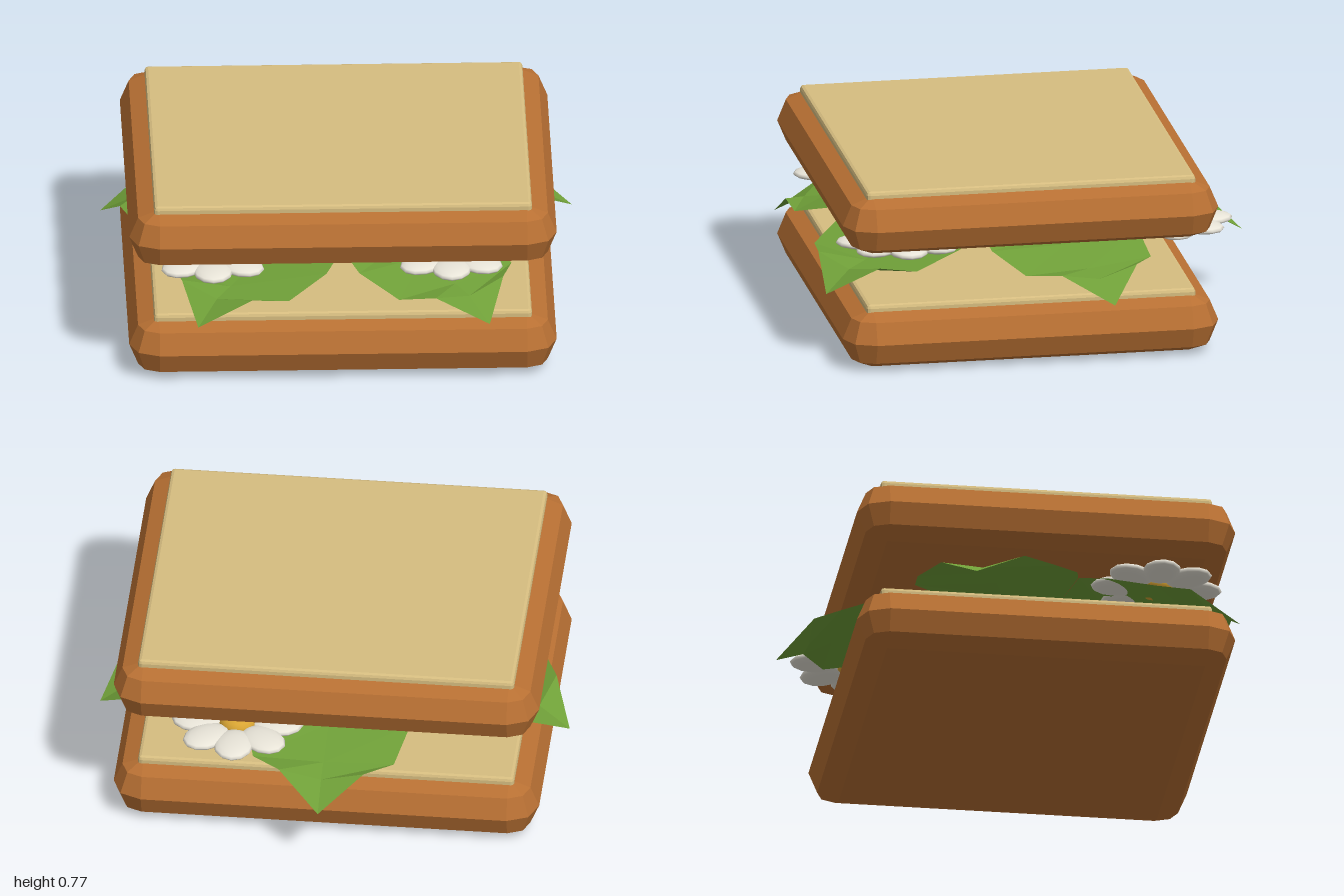
import * as THREE from 'three';
import { ConvexGeometry } from 'three/addons/geometries/ConvexGeometry.js';

const material = (color, flat, side = THREE.FrontSide) =>
  new THREE.MeshStandardMaterial({ color, flatShading: flat, side });

const CENTRE_Z = 0.1;

function add(parent, name, geometry, mat) {
  const mesh = new THREE.Mesh(geometry, mat);
  mesh.name = name;
  parent.add(mesh);
  return mesh;
}

// Box with faceted rounded edges: the hull of eight coarse sphere octants
function facetedSlab(w, h, d, r) {
  const points = [];
  for (const sx of [-1, 1]) for (const sy of [-1, 1]) for (const sz of [-1, 1]) {
    for (let lat = 0; lat <= 2; lat++) {
      for (let lon = 0; lon <= (lat === 2 ? 0 : 2); lon++) {
        const a = lat * Math.PI / 4, b = lon * Math.PI / 4;
        points.push(new THREE.Vector3(
          sx * (w / 2 - r + r * Math.cos(a) * Math.cos(b)),
          sy * (h / 2 - r + r * Math.sin(a)),
          sz * (d / 2 - r + r * Math.cos(a) * Math.sin(b))));
      }
    }
  }
  return new ConvexGeometry(points);
}

// Leaf along +z: stations of [distance, half width, midrib height, edge height]
function leafGeometry() {
  const stations = [
    [0, 0, 0.28, 0.28], [0.12, 0.087, 0.38, 0.4], [0.3, 0.218, 0.42, 0.46],
    [0.45, 0.325, 0.44, 0.495], [0.6, 0.35, 0.43, 0.45], [0.81, 0.3, 0.38, 0.39],
    [0.91, 0.18, 0.36, 0.4], [1.05, 0, 0.28, 0.28],
  ];
  const position = [], index = [];
  stations.forEach(([z, w, mid, edge], i) => {
    position.push(-w, edge, z, 0, mid, z, w, edge, z);
    if (i === 0) return;
    for (let k = 0; k < 2; k++) {
      const a = (i - 1) * 3 + k, b = a + 3;
      index.push(a, b, a + 1, a + 1, b, b + 1);
    }
  });
  const geometry = new THREE.BufferGeometry();
  geometry.setAttribute('position', new THREE.Float32BufferAttribute(position, 3));
  geometry.setIndex(index);
  geometry.computeVertexNormals();
  return geometry;
}

export function createModel() {
  const model = new THREE.Group();
  model.name = 'sandwich';
  const crust = material(0xb87033, true);
  const crumb = material(0xd6bd80, true);
  const green = material(0x6f9f38, true, THREE.DoubleSide);
  const white = material(0xe8e4d8, false);
  const gold = material(0xd9a533, false);

  // Two slices of bread
  const crustGeometry = facetedSlab(1.81, 0.255, 1.615, 0.1275);
  const crumbGeometry = facetedSlab(1.6, 0.05, 1.415, 0.015);
  for (const [name, y] of [['bottomSlice', 0], ['topSlice', 0.5]]) {
    const slice = new THREE.Group();
    slice.name = name;
    slice.position.set(0, y, CENTRE_Z);
    add(slice, 'crust', crustGeometry, crust).position.y = 0.1275;
    add(slice, 'crumb', crumbGeometry, crumb).position.y = 0.25;
    model.add(slice);
  }

  // Five drooping lettuce leaves around a low centre
  const lettuce = new THREE.Group();
  lettuce.name = 'lettuce';
  lettuce.position.z = CENTRE_Z;
  const leaf = leafGeometry();
  for (let i = 0; i < 5; i++) {
    add(lettuce, 'lettuceLeaf', leaf, green).rotation.y = Math.PI + i * Math.PI * 2 / 5;
  }
  model.add(lettuce);

  // Daisies lying on the lettuce
  const petal = new THREE.SphereGeometry(1, 12, 8);
  petal.scale(0.085, 0.025, 0.11);
  petal.translate(0, 0, 0.17);
  const eye = new THREE.SphereGeometry(1, 16, 10);
  eye.scale(0.08, 0.05, 0.08);
  for (const [x, z] of [[-0.55, 0.6], [0.46, 0.6], [0.38, -0.56]]) {
    const flower = new THREE.Group();
    flower.name = 'flower';
    flower.position.set(x, 0.457, z);
    for (let i = 0; i < 8; i++) add(flower, 'petal', petal, white).rotation.y = i * Math.PI / 4;
    add(flower, 'flowerEye', eye, gold);
    model.add(flower);
  }
  return model;
}
